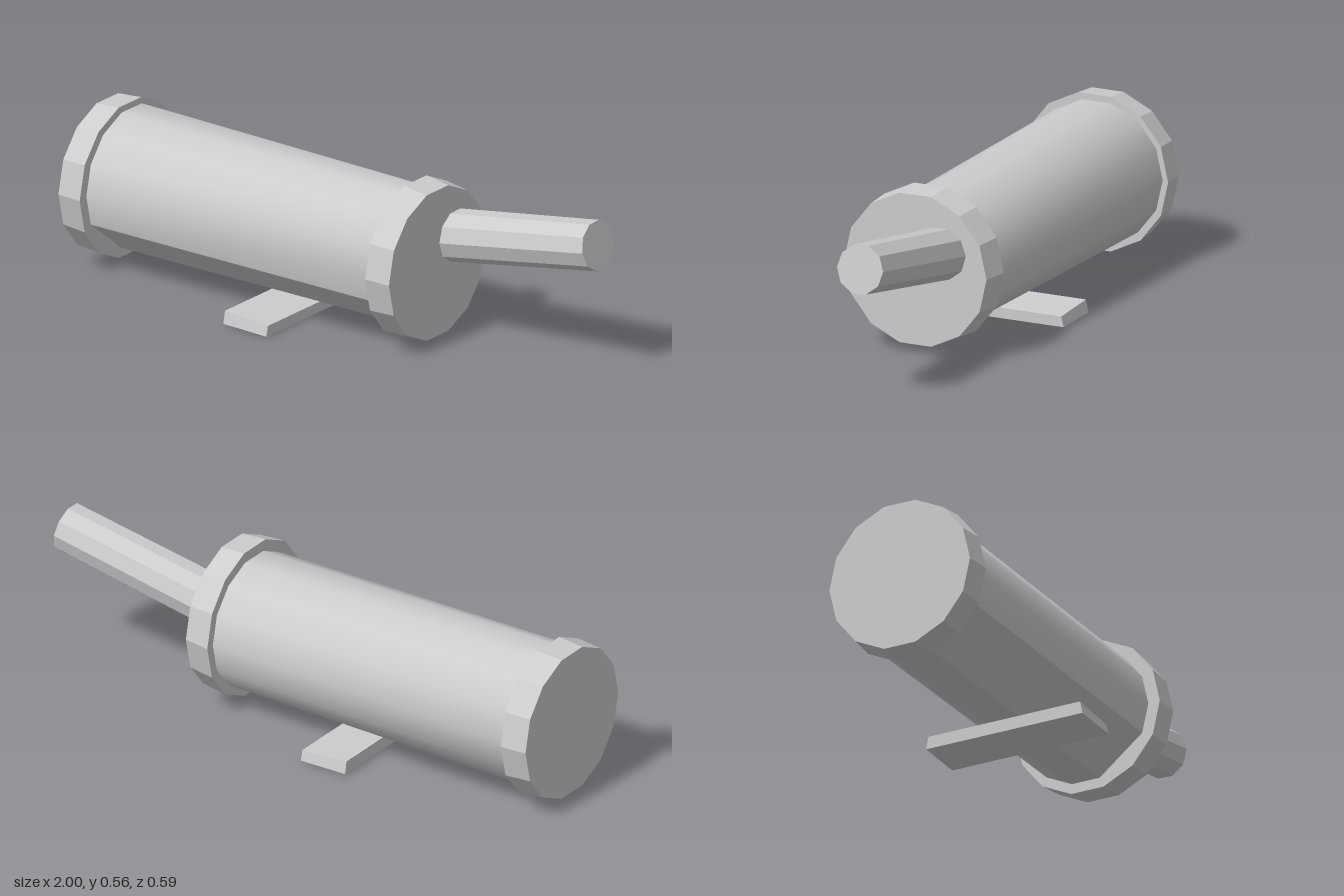
import * as THREE from 'three';
import { toCreasedNormals } from 'three/addons/utils/BufferGeometryUtils.js';

// Joins rings along x into a closed solid. Each ring is [x, centreY, centreZ, radius];
// the angles (from +z towards +y) give its corners.
function loft(rings, angles, crease) {
  const pos = [];
  const point = (r, a) => [r[0], r[1] + r[3] * Math.sin(a), r[2] + r[3] * Math.cos(a)];
  const tri = (a, b, c) => pos.push(...a, ...b, ...c);
  const first = rings[0], last = rings[rings.length - 1];
  angles.forEach((a, i) => {
    const b = angles[(i + 1) % angles.length];
    for (let k = 0; k < rings.length - 1; k++) {
      const p = rings[k], q = rings[k + 1];
      tri(point(p, a), point(q, a), point(q, b));
      tri(point(p, a), point(q, b), point(p, b));
    }
    tri(first.slice(0, 3), point(first, a), point(first, b));
    tri(last.slice(0, 3), point(last, b), point(last, a));
  });
  const geometry = new THREE.BufferGeometry();
  geometry.setAttribute('position', new THREE.Float32BufferAttribute(pos, 3));
  geometry.computeVertexNormals();
  return crease ? toCreasedNormals(geometry, crease) : geometry;
}

const polygon = (n, offset = 0) =>
  Array.from({ length: n }, (_, i) => offset + (i * 2 * Math.PI) / n);

export function createModel() {
  const model = new THREE.Group();
  const grey = new THREE.MeshStandardMaterial({ color: 0xcccccc });
  grey.name = 'light grey';
  const add = (name, geometry) => {
    const mesh = new THREE.Mesh(geometry, grey);
    mesh.name = name;
    model.add(mesh);
    return mesh;
  };

  // Smooth barrel with one flat facet low on the front
  const barrelAngles = polygon(14).filter((_, i) => i !== 12);
  add('barrel', loft([[-0.95, 0.293, -0.008, 0.247], [0.34, 0.289, -0.006, 0.237]], barrelAngles, 0.5));

  // Faceted end caps, slightly narrower at the outer face
  add('leftCap', loft([[-1, 0.288, 0, 0.267], [-0.905, 0.288, 0, 0.275]], polygon(14)));
  add('rightCap', loft([[0.29, 0.29, 0, 0.275], [0.388, 0.289, 0.006, 0.266]], polygon(14)));

  // Tilted handle, set off centre
  const handle = add('handle', loft([[0, 0, 0, 0.09], [0.66, 0, 0, 0.086]], polygon(10, -0.03)));
  handle.position.set(0.333, 0.349, -0.093);
  handle.rotation.z = 0.17;

  // Flat foot: wedge in x, ends leaning inwards
  const foot = new THREE.BoxGeometry(0.18, 1, 0.594);
  const p = foot.attributes.position;
  for (let i = 0; i < p.count; i++) {
    const top = p.getY(i) > 0, left = p.getX(i) < 0;
    p.setY(i, top ? (left ? 0.048 : 0.036) : (left ? 0.004 : 0));
    if (top) p.setZ(i, p.getZ(i) * 0.97);
  }
  foot.computeVertexNormals();
  add('foot', foot).position.set(-0.195, 0, 0.002);

  return model;
}
